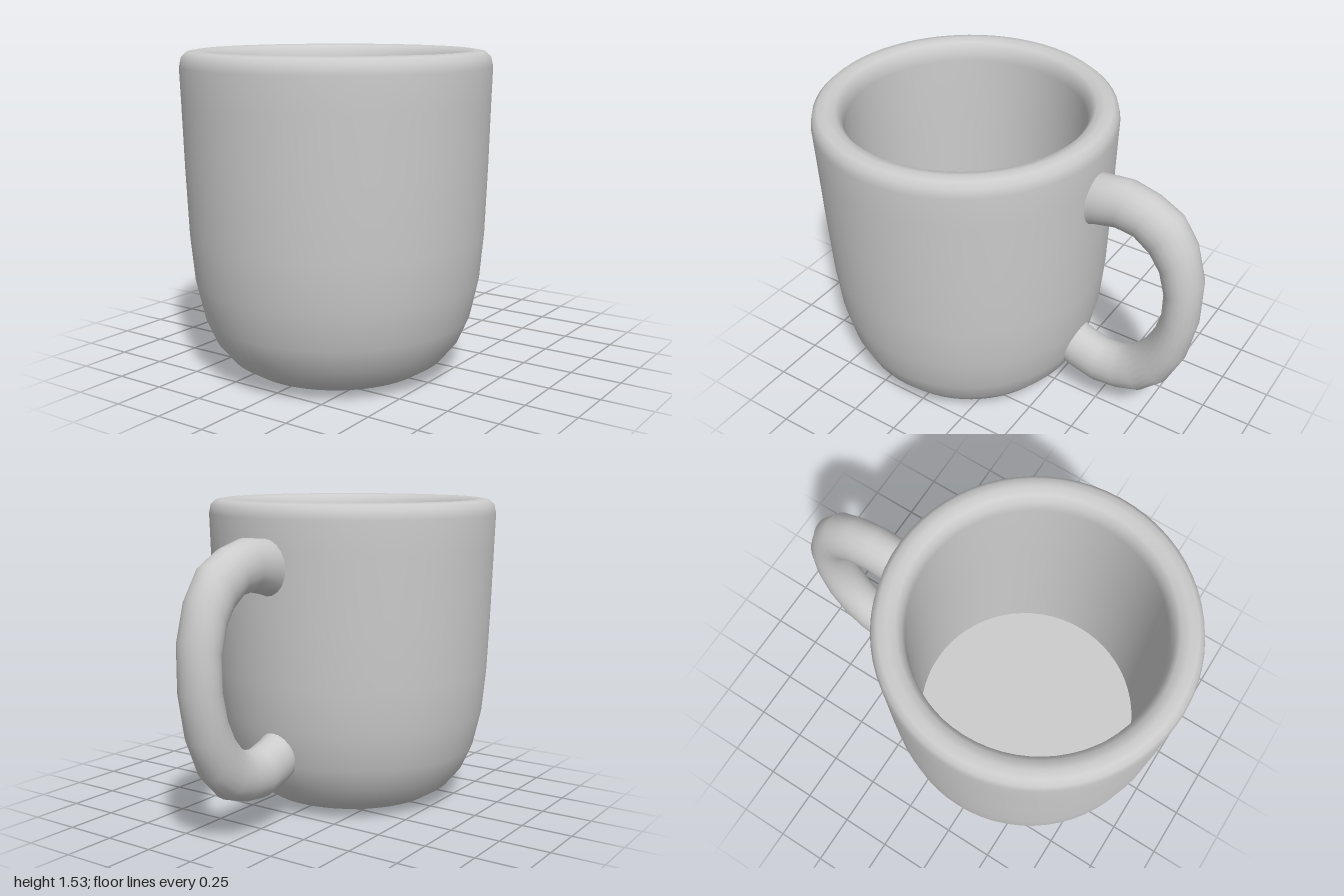
import * as THREE from 'three';

const material = new THREE.MeshStandardMaterial({ color: 0xcccccc });
const BODY_Z = 0.275;

function addMesh(group, name, geometry) {
  const mesh = new THREE.Mesh(geometry, material);
  mesh.name = name;
  group.add(mesh);
  return mesh;
}

// Handle: elliptical rings spanning outer/inner edge points [zOut, yOut, zIn, yIn]
function handleGeometry(rings, halfWidth, sides) {
  const positions = [], index = [];
  rings.forEach(([zo, yo, zi, yi], i) => {
    for (let j = 0; j < sides; j++) {
      const a = (j / sides) * Math.PI * 2, c = Math.cos(a) / 2;
      positions.push(
        Math.sin(a) * halfWidth,
        (yo + yi) / 2 + (yo - yi) * c,
        (zo + zi) / 2 + (zo - zi) * c
      );
      if (i === rings.length - 1) continue;
      const k = (j + 1) % sides;
      const p = i * sides + j, q = i * sides + k;
      index.push(p, q, p + sides, q, q + sides, p + sides);
    }
  });
  const geometry = new THREE.BufferGeometry();
  geometry.setAttribute('position', new THREE.Float32BufferAttribute(positions, 3));
  geometry.setIndex(index);
  geometry.computeVertexNormals();
  return geometry;
}

export function createModel() {
  const group = new THREE.Group();
  group.name = 'mug';

  // Rounded outer wall, thick rim and straight inner wall in one profile
  const profile = [
    [0, 0], [0.2, 0.004], [0.36, 0.012], [0.44, 0.03], [0.52, 0.08], [0.59, 0.165],
    [0.64, 0.28], [0.68, 0.46], [0.7, 0.68], [0.712, 1.0], [0.72, 1.3],
    [0.725, 1.46], [0.715, 1.505], [0.69, 1.528], [0.65, 1.535],
    [0.61, 1.525], [0.585, 1.495], [0.575, 1.44], [0.575, 1.0], [0.575, 0.2],
  ].map(([r, y]) => new THREE.Vector2(r, y));
  addMesh(group, 'body', new THREE.LatheGeometry(profile, 64)).position.z = BODY_Z;

  // Flat floor inside the cup
  const floor = addMesh(group, 'innerFloor', new THREE.CircleGeometry(0.575, 64));
  floor.rotation.x = -Math.PI / 2;
  floor.position.set(0, 0.2, BODY_Z);

  // Handle at the back, its ends sunk into the wall
  const rings = [
    [-0.36, 1.345, -0.36, 1.07],
    [-0.45, 1.372, -0.46, 1.115],
    [-0.60, 1.385, -0.57, 1.14],
    [-0.735, 1.35, -0.66, 1.13],
    [-0.86, 1.285, -0.74, 1.07],
    [-0.945, 1.16, -0.795, 0.99],
    [-1.0, 0.97, -0.825, 0.88],
    [-1.0, 0.73, -0.825, 0.75],
    [-0.96, 0.51, -0.795, 0.63],
    [-0.88, 0.33, -0.745, 0.53],
    [-0.77, 0.22, -0.68, 0.45],
    [-0.64, 0.175, -0.61, 0.41],
    [-0.51, 0.16, -0.53, 0.40],
    [-0.37, 0.195, -0.43, 0.43],
    [-0.28, 0.235, -0.35, 0.475],
  ];
  addMesh(group, 'handle', handleGeometry(rings, 0.105, 20));

  return group;
}
